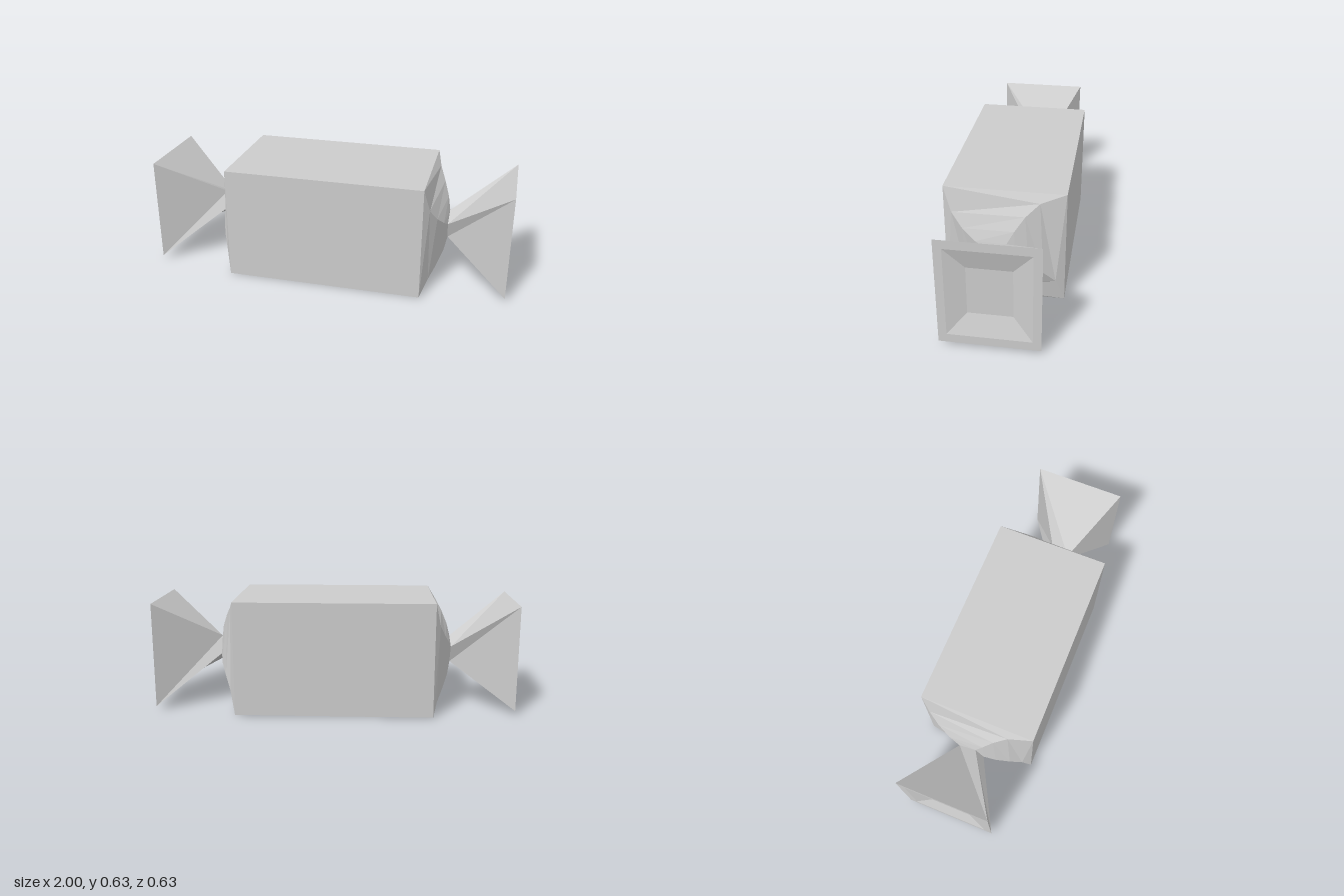
import * as THREE from 'three';

const MID = 0.315; // height of the long axis

// Four corners of a rectangular ring across the x axis, turned by a twist in degrees
function ring(x, halfZ, halfY, twist = 0) {
  const t = THREE.MathUtils.degToRad(twist);
  return [[1, 1], [-1, 1], [-1, -1], [1, -1]].map(([su, sv]) => {
    const u = su * halfZ, v = sv * halfY;
    return [
      x,
      v * Math.cos(t) - u * Math.sin(t),
      -(u * Math.cos(t) + v * Math.sin(t)),
    ];
  });
}

// Faceted skin through successive rings, optionally closed at the last one
function loft(rings, closeEnd) {
  const pos = [];
  const tri = (a, b, c) => pos.push(...a, ...b, ...c);
  for (let i = 0; i < rings.length - 1; i++) {
    const a = rings[i], b = rings[i + 1];
    for (let k = 0; k < 4; k++) {
      const n = (k + 1) % 4;
      tri(a[k], a[n], b[k]);
      tri(a[n], b[n], b[k]);
    }
  }
  if (closeEnd) {
    const e = rings[rings.length - 1];
    tri(e[0], e[1], e[2]);
    tri(e[0], e[2], e[3]);
  }
  const geo = new THREE.BufferGeometry();
  geo.setAttribute('position', new THREE.Float32BufferAttribute(pos, 3));
  geo.computeVertexNormals();
  return geo;
}

export function createModel() {
  const model = new THREE.Group();
  model.name = 'wrappedCandy';
  const mat = new THREE.MeshStandardMaterial({
    color: 0xcccccc, flatShading: true, side: THREE.DoubleSide,
  });
  const add = (parent, geo, name) => {
    const mesh = new THREE.Mesh(geo, mat);
    mesh.name = name;
    parent.add(mesh);
  };

  // Square body, open where the twisted ends join
  const body = loft([ring(-0.545, 0.315, 0.315), ring(0.545, 0.315, 0.315)], false);
  body.translate(0, MID, 0);
  add(model, body, 'body');

  // Twisted wrapper end: position, half width, twist
  const twistRings = [
    [0.545, 0.315, 0],
    [0.575, 0.231, -10.6],
    [0.61, 0.168, -16],
    [0.64, 0.106, -20],
    [0.655, 0.053, -24],
  ].map(([x, h, t]) => ring(x, h, h, t));
  const twistGeo = loft(twistRings, false);

  // Flared tail with a flat rim and a shallow recess
  const tailGeo = loft([
    twistRings[twistRings.length - 1],
    ring(1, 0.252, 0.292),
    ring(1, 0.21, 0.245),
    ring(0.965, 0.112, 0.13),
  ], true);

  // The same end on both sides, turned half way round
  for (const [side, turn] of [['left', 0], ['right', Math.PI]]) {
    const end = new THREE.Group();
    end.name = side + 'End';
    add(end, twistGeo, side + 'Twist');
    add(end, tailGeo, side + 'Tail');
    end.position.y = MID;
    end.rotation.y = turn;
    model.add(end);
  }
  return model;
}
